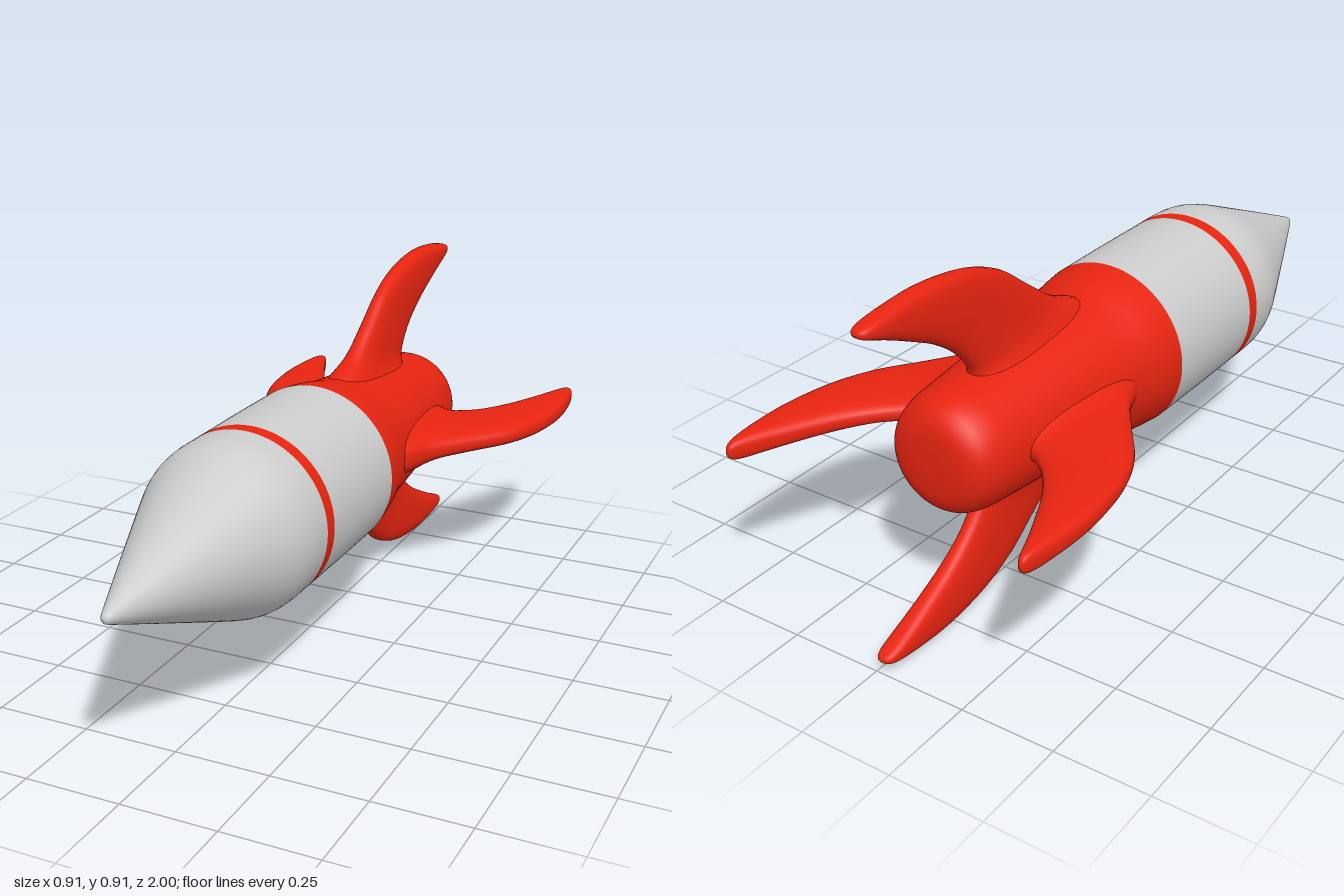
import * as THREE from 'three';

const GREY = new THREE.MeshStandardMaterial({ color: 0xcccccc });
const RED = new THREE.MeshStandardMaterial({ color: 0xe62410 });

// Surface of revolution about z; points are [radius, z] from tail to nose
function turned(name, points, material) {
  const geometry = new THREE.LatheGeometry(points.map(([r, z]) => new THREE.Vector2(r, z)), 96);
  geometry.rotateX(Math.PI / 2);
  const mesh = new THREE.Mesh(geometry, material);
  mesh.name = name;
  return mesh;
}

// Smooth profile through a few [radius, z] points
function smoothProfile(points, steps) {
  const curve = new THREE.SplineCurve(points.map(([r, z]) => new THREE.Vector2(r, z)));
  return curve.getPoints(steps).map((p) => [Math.max(p.x, 0), p.y]);
}

// Swept fin: rounded sections lofted between a leading and a trailing edge
function finGeometry() {
  // Each station: half thickness, leading [radius, z], trailing [radius, z]
  const stations = [
    [0.085, 0.150, -0.14, 0.110, -0.660],
    [0.060, 0.202, -0.20, 0.150, -0.622],
    [0.043, 0.245, -0.30, 0.176, -0.622],
    [0.037, 0.315, -0.40, 0.205, -0.640],
    [0.034, 0.388, -0.50, 0.240, -0.672],
    [0.034, 0.430, -0.60, 0.275, -0.715],
    [0.034, 0.450, -0.70, 0.310, -0.770],
    [0.033, 0.457, -0.80, 0.345, -0.840],
    [0.031, 0.450, -0.90, 0.378, -0.910],
    [0.027, 0.441, -0.96, 0.401, -0.965],
    [0.018, 0.433, -0.99, 0.412, -0.990],
    [0.000, 0.423, -1.00, 0.423, -1.000],
  ];
  const edge = (k) => new THREE.CatmullRomCurve3(
    stations.map((s) => new THREE.Vector3(s[0], s[k], s[k + 1])), false, 'catmullrom', 0.5);
  const leading = edge(1), trailing = edge(3);
  const rows = 66, ring = 40, positions = [], index = [];
  const soften = (v) => Math.sign(v) * Math.abs(v) ** 0.75;

  for (let i = 0; i <= rows; i++) {
    const a = leading.getPoint(i / rows), b = trailing.getPoint(i / rows);
    for (let j = 0; j < ring; j++) {
      const angle = (j / ring) * Math.PI * 2;
      const c = soften(Math.cos(angle)) / 2;
      positions.push(
        a.x * soften(Math.sin(angle)),
        (a.y + b.y) / 2 + (a.y - b.y) * c,
        (a.z + b.z) / 2 + (a.z - b.z) * c);
      if (i < rows) {
        const p = i * ring + j, q = i * ring + (j + 1) % ring;
        index.push(p, q, p + ring, q, q + ring, p + ring);
      }
    }
  }
  const geometry = new THREE.BufferGeometry();
  geometry.setAttribute('position', new THREE.Float32BufferAttribute(positions, 3));
  geometry.setIndex(index);
  geometry.computeVertexNormals();
  return geometry;
}

export function createModel() {
  const rocket = new THREE.Group();
  rocket.name = 'rocket';

  // Hull from tail to nose
  rocket.add(turned('tailSection', smoothProfile([
    [0, -0.787], [0.05, -0.786], [0.1, -0.778], [0.135, -0.752], [0.153, -0.71], [0.161, -0.65],
    [0.17, -0.55], [0.185, -0.4], [0.203, -0.22], [0.222, -0.12], [0.232, -0.045],
  ], 60), RED));
  rocket.add(turned('hull', [[0.232, -0.045], [0.233, 0.15], [0.232, 0.32]], GREY));
  rocket.add(turned('stripe', [[0.232, 0.32], [0.232, 0.36]], RED));
  rocket.add(turned('noseCone', [
    [0.232, 0.36], [0.232, 0.41], [0.23, 0.44], [0.226, 0.465], [0.219, 0.49], [0.21, 0.515],
    [0.194, 0.555], [0.14, 0.687], [0.08, 0.833], [0.018, 0.982], [0.012, 0.994], [0.006, 0.999], [0, 1],
  ], GREY));

  // Four fins around the tail, with slightly different spans
  const fin = finGeometry();
  const fins = [
    ['topFin', 0, 1], ['leftFin', -1, 1.025], ['bottomFin', 2, 0.985], ['rightFin', 1, 0.965],
  ];
  for (const [name, quarter, span] of fins) {
    const mesh = new THREE.Mesh(fin, RED);
    mesh.name = name;
    mesh.rotation.z = quarter * Math.PI / 2;
    mesh.scale.y = span;
    rocket.add(mesh);
  }

  rocket.position.set(-0.016, 0.455, 0);
  const model = new THREE.Group();
  model.name = 'model';
  model.add(rocket);
  return model;
}
